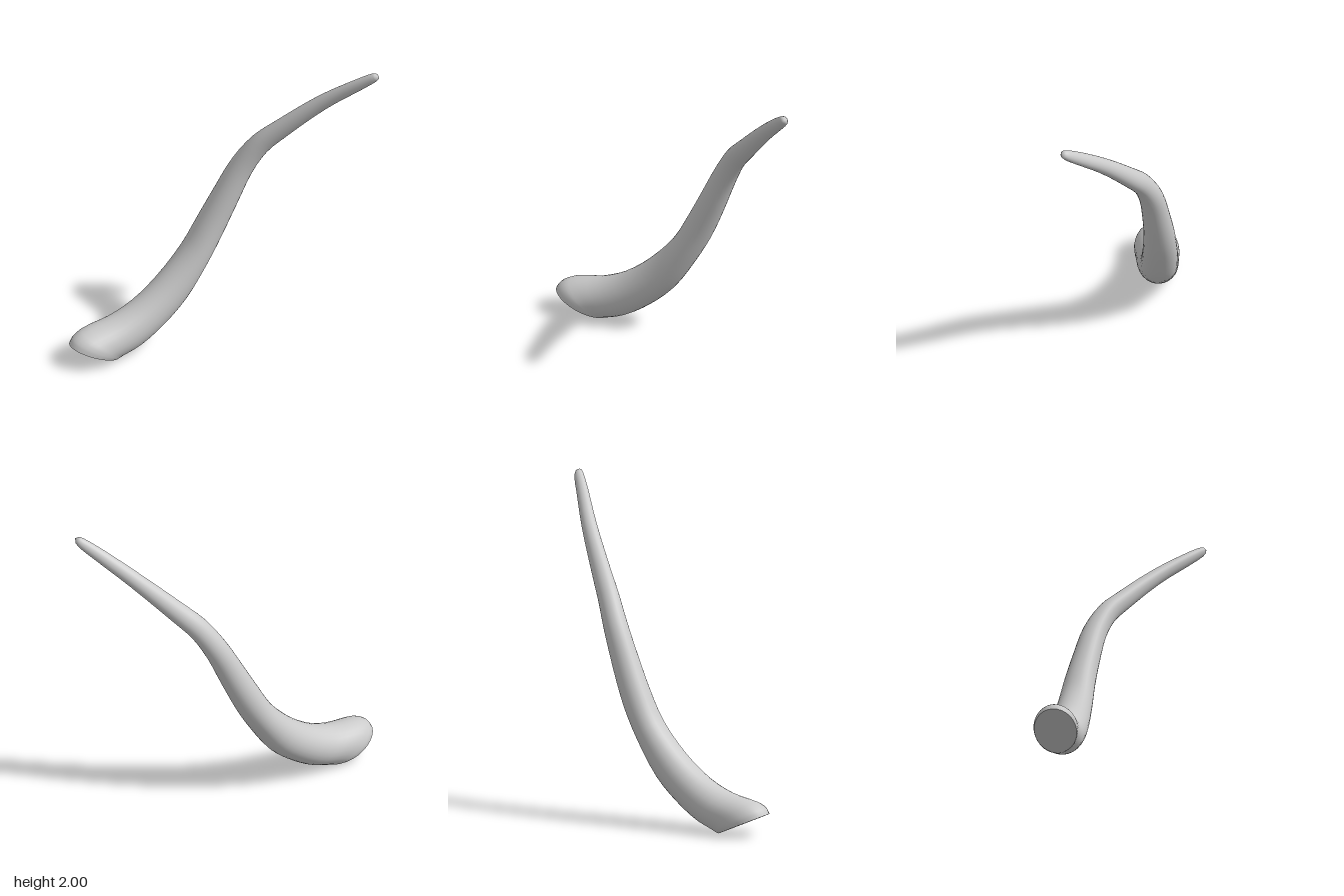
import * as THREE from 'three';

const SIDES = 28, STEPS = 3;

// Cross-sections from root to tip: upper edge x, y, lower edge x, y, centre z, half width
const SECTIONS = [
  [-0.875, 0.15, -0.55, 0.005, -0.312, 0.131],
  [-0.85, 0.187, -0.54, 0.006, -0.312, 0.136],
  [-0.79, 0.22, -0.51, 0.017, -0.312, 0.136],
  [-0.6, 0.26, -0.4, 0.06, -0.3, 0.13],
  [-0.44, 0.33, -0.25, 0.16, -0.288, 0.122],
  [-0.27, 0.46, -0.1, 0.3, -0.278, 0.115],
  [-0.1, 0.65, 0.04, 0.51, -0.265, 0.106],
  [0, 0.83, 0.14, 0.69, -0.25, 0.096],
  [0.1, 1.03, 0.235, 0.91, -0.22, 0.085],
  [0.2, 1.23, 0.325, 1.14, -0.18, 0.075],
  [0.3, 1.4, 0.4, 1.3, -0.115, 0.063],
  [0.4, 1.52, 0.49, 1.43, -0.03, 0.055],
  [0.6, 1.75, 0.67, 1.68, 0.155, 0.045],
  [0.75, 1.915, 0.8, 1.85, 0.32, 0.035],
  [0.823, 1.985, 0.868, 1.942, 0.403, 0.028],
  [0.843, 1.998, 0.876, 1.967, 0.425, 0.02],
];
const TIP = [0.866, 1.99, 0.44];

const smooth = (pts) => {
  const curve = new THREE.CatmullRomCurve3(pts);
  return (u) => curve.getPoint(u);
};

function mesh(name, positions, indices) {
  const g = new THREE.BufferGeometry();
  g.setAttribute('position', new THREE.Float32BufferAttribute(positions, 3));
  g.setIndex(indices);
  g.computeVertexNormals();
  const m = new THREE.Mesh(g, new THREE.MeshStandardMaterial({ color: 0xcccccc }));
  m.name = name;
  return m;
}

export function createModel() {
  const upper = smooth(SECTIONS.map(([x, y, , , z]) => new THREE.Vector3(x, y, z)));
  const lower = smooth(SECTIONS.map(([, , x, y, z]) => new THREE.Vector3(x, y, z)));
  const width = smooth(SECTIONS.map((s, i) => new THREE.Vector3(i * 0.1, s[5], 0)));
  const centre = (u) => upper(u).add(lower(u)).multiplyScalar(0.5);

  // Oval rings swept along the bent centre line
  const rows = (SECTIONS.length - 1) * STEPS;
  const pos = [], idx = [];
  for (let i = 0; i <= rows; i++) {
    const u = i / rows, c = centre(u);
    const along = centre(Math.min(1, u + 0.01)).sub(centre(Math.max(0, u - 0.01)));
    const up = upper(u).sub(c);
    const side = along.cross(up).setLength(width(u).y);
    for (let j = 0; j < SIDES; j++) {
      const a = (j / SIDES) * Math.PI * 2;
      const p = c.clone().addScaledVector(up, Math.cos(a)).addScaledVector(side, Math.sin(a));
      pos.push(p.x, p.y, p.z);
    }
  }
  for (let i = 0; i < rows; i++) {
    for (let j = 0; j < SIDES; j++) {
      const a = i * SIDES + j, b = i * SIDES + ((j + 1) % SIDES);
      idx.push(a, b, a + SIDES, b, b + SIDES, a + SIDES);
    }
  }
  // Rounded point
  const pole = pos.length / 3, last = rows * SIDES;
  pos.push(...TIP);
  for (let j = 0; j < SIDES; j++) idx.push(last + j, last + ((j + 1) % SIDES), pole);

  // Slanted cut face at the root
  const c0 = centre(0);
  const capPos = [...pos.slice(0, SIDES * 3), c0.x, c0.y, c0.z], capIdx = [];
  for (let j = 0; j < SIDES; j++) capIdx.push(SIDES, (j + 1) % SIDES, j);

  const group = new THREE.Group();
  group.name = 'horn';
  group.add(mesh('hornShaft', pos, idx), mesh('hornRootFace', capPos, capIdx));
  return group;
}
